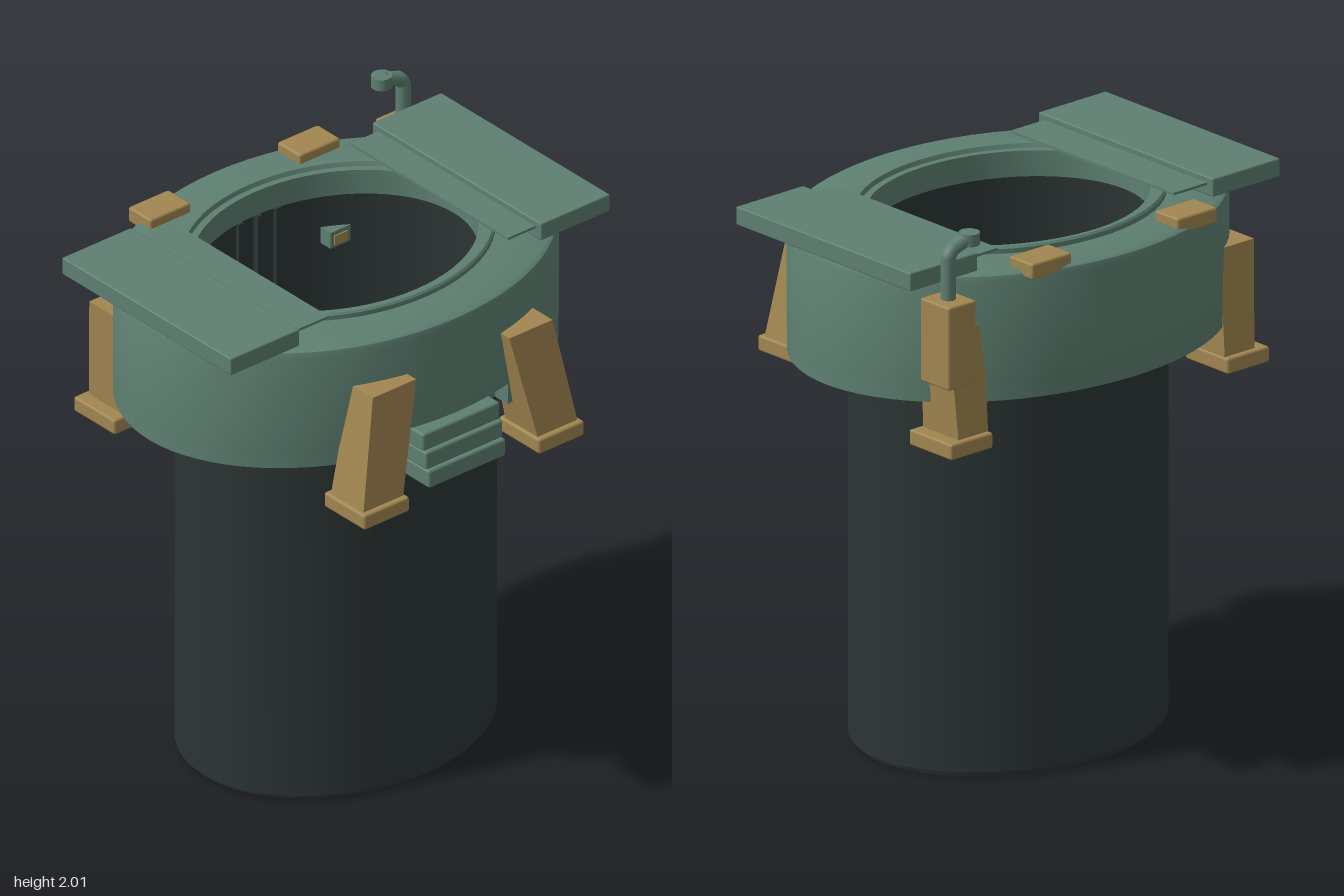
import * as THREE from 'three';
import { toCreasedNormals } from 'three/addons/utils/BufferGeometryUtils.js';
import { RoundedBoxGeometry } from 'three/addons/geometries/RoundedBoxGeometry.js';

const CZ = -0.045; // centre of the oval shaft and collar

export function createModel() {
  const model = new THREE.Group();
  const flat = (name, color) => {
    const m = new THREE.MeshStandardMaterial({ color });
    m.name = name;
    return m;
  };
  const green = flat('armourGreen', 0x5e8072);
  const gold = flat('bracketGold', 0xa18650);
  const dark = flat('shaftDark', 0x2c3434);

  const add = (name, geo, mat) => {
    const mesh = new THREE.Mesh(geo, mat);
    mesh.name = name;
    model.add(mesh);
    return mesh;
  };

  // Box given by its limits, with slightly rounded edges
  const box = (name, mat, x0, x1, y0, y1, z0, z1, r = 0.008) => {
    const geo = r
      ? new RoundedBoxGeometry(x1 - x0, y1 - y0, z1 - z0, 1, r)
      : new THREE.BoxGeometry(x1 - x0, y1 - y0, z1 - z0);
    geo.translate((x0 + x1) / 2, (y0 + y1) / 2, (z0 + z1) / 2);
    return add(name, geo, mat);
  };

  // Oval turned part: profile in x and y, squashed in z
  const oval = (name, mat, profile, squash) => {
    const geo = new THREE.LatheGeometry(profile.map(p => new THREE.Vector2(...p)), 72);
    geo.scale(1, 1, squash).translate(0, 0, CZ);
    return add(name, toCreasedNormals(geo, 0.6), mat);
  };

  // Leaning prism between two rectangles [x0, x1, z0, z1]
  const prism = (name, mat, y0, bottom, y1, top) => {
    const geo = new THREE.BoxGeometry(1, 1, 1);
    const p = geo.attributes.position;
    for (let i = 0; i < p.count; i++) {
      const rect = p.getY(i) > 0 ? top : bottom;
      p.setXYZ(i, rect[p.getX(i) > 0 ? 1 : 0], p.getY(i) > 0 ? y1 : y0, rect[p.getZ(i) > 0 ? 3 : 2]);
    }
    geo.computeVertexNormals();
    return add(name, geo, mat);
  };

  // Hollow shaft with a floor
  oval('shaft', dark, [
    [0, 0], [0.55, 0], [0.555, 0.015], [0.57, 0.02], [0.57, 1.45],
    [0.57, 1.8], [0.515, 1.8], [0.515, 0.05], [0, 0.05],
  ], 0.805);

  // Upper collar with rounded shoulder
  oval('collarTop', green, [
    [0.56, 1.46], [0.8, 1.46], [0.8, 1.795], [0.793, 1.813], [0.775, 1.822], [0.56, 1.822],
  ], 0.77);

  // Lower collar with a notch for the steps
  const a = Math.asin(0.24 / 0.8);
  const outline = [];
  for (let i = 0; i <= 72; i++) {
    const t = -Math.PI / 2 + a + (i / 72) * (Math.PI * 2 - 2 * a);
    outline.push(new THREE.Vector2(0.8 * Math.cos(t), 0.615 * Math.sin(t)));
  }
  outline.push(new THREE.Vector2(-0.24, -0.52), new THREE.Vector2(0.24, -0.52));
  const lower = new THREE.Shape(outline);
  lower.holes.push(new THREE.Path().absellipse(0, 0, 0.56, 0.44, 0, Math.PI * 2, true));
  const lowerGeo = new THREE.ExtrudeGeometry(lower, { depth: 0.08, bevelEnabled: false, curveSegments: 36 });
  lowerGeo.rotateX(-Math.PI / 2).translate(0, 1.38, CZ);
  add('collarBottom', toCreasedNormals(lowerGeo, 0.6), green);

  // Raised lip round the opening
  oval('openingLip', green, [
    [0.565, 1.81], [0.565, 1.838], [0.558, 1.845], [0.54, 1.845],
    [0.533, 1.83], [0.505, 1.83], [0.505, 1.74], [0.52, 1.74],
  ], 0.805);

  // Sliding doors and their thin inner leaves
  for (const s of [-1, 1]) {
    const side = (name, x0, x1, y0, y1, z0, z1, r) =>
      box(name, green, Math.min(s * x0, s * x1), Math.max(s * x0, s * x1), y0, y1, z0, z1, r);
    side('slidingDoor', 0.517, 0.813, 1.822, 1.886, -0.47, 0.382, 0.005);
    side('doorLeaf', s < 0 ? 0.37 : 0.4, 0.53, 1.857, 1.866, -0.44, 0.353, 0);
  }

  for (const s of [-1, 1]) {
    const rect = (x0, x1, z0, z1) => s > 0 ? [x0, x1, z0, z1] : [-x1, -x0, z0, z1];
    const foot = (name, x0, x1, z0, z1) => {
      const r = rect(x0, x1, z0, z1);
      box(name, gold, r[0], r[1], 1.225, 1.28, z0, z1);
    };
    // Front supports
    prism('frontLeg', gold, 1.27, rect(0.29, 0.46, 0.47, 0.635), 1.67, rect(0.2, 0.385, 0.48, 0.595));
    foot('frontFoot', 0.277, 0.472, 0.45, 0.655);
    // Rear supports
    prism('rearLeg', gold, 1.27, rect(0.52, 0.65, -0.525, -0.35), 1.65, rect(0.52, 0.67, -0.5, -0.37));
    foot('rearFoot', 0.515, 0.7, -0.545, -0.337);
    // Pads on the rear of the collar
    const r = rect(0.233, 0.407, 0, 0);
    box('topPad', gold, r[0], r[1], 1.8, 1.856, -0.615, -0.5);
    // Small fittings inside the shaft
    const f = rect(0.245, 0.33, 0, 0);
    box('innerFitting', green, f[0], f[1], 1.56, 1.62, -0.43, -0.36, 0);
    box('fittingPlate', gold, f[0] + 0.015, f[1] - 0.015, 1.57, 1.605, -0.362, -0.355, 0);
  }

  // Rails on the rear shaft wall
  for (const x of [-0.07, 0.01, 0.09]) {
    box('wallRail', dark, x - 0.01, x + 0.01, 0.05, 1.74, -0.46, -0.438, 0);
  }

  // Front steps
  for (let i = 0; i < 3; i++) {
    box('frontStep', green, -0.165, 0.165, 1.25 + 0.063 * i, 1.315 + 0.063 * i, 0.46, 0.62 - 0.015 * i);
  }

  // Periscope on its housing
  box('periscopeHousing', gold, 0.645, 0.767, 1.5, 1.79, -0.607, -0.465);
  const path = new THREE.CurvePath();
  const pts = [[0.705, 1.78], [0.705, 1.935], [0.69, 1.958], [0.615, 1.982]]
    .map(p => new THREE.Vector3(p[0], p[1], -0.535));
  for (let i = 0; i < 3; i++) path.add(new THREE.LineCurve3(pts[i], pts[i + 1]));
  add('periscopeTube', new THREE.TubeGeometry(path, 24, 0.025, 16), green);
  const head = new THREE.CylinderGeometry(0.035, 0.035, 0.042, 24);
  add('periscopeHead', head.translate(0.613, 1.979, -0.535), green);

  return model;
}
